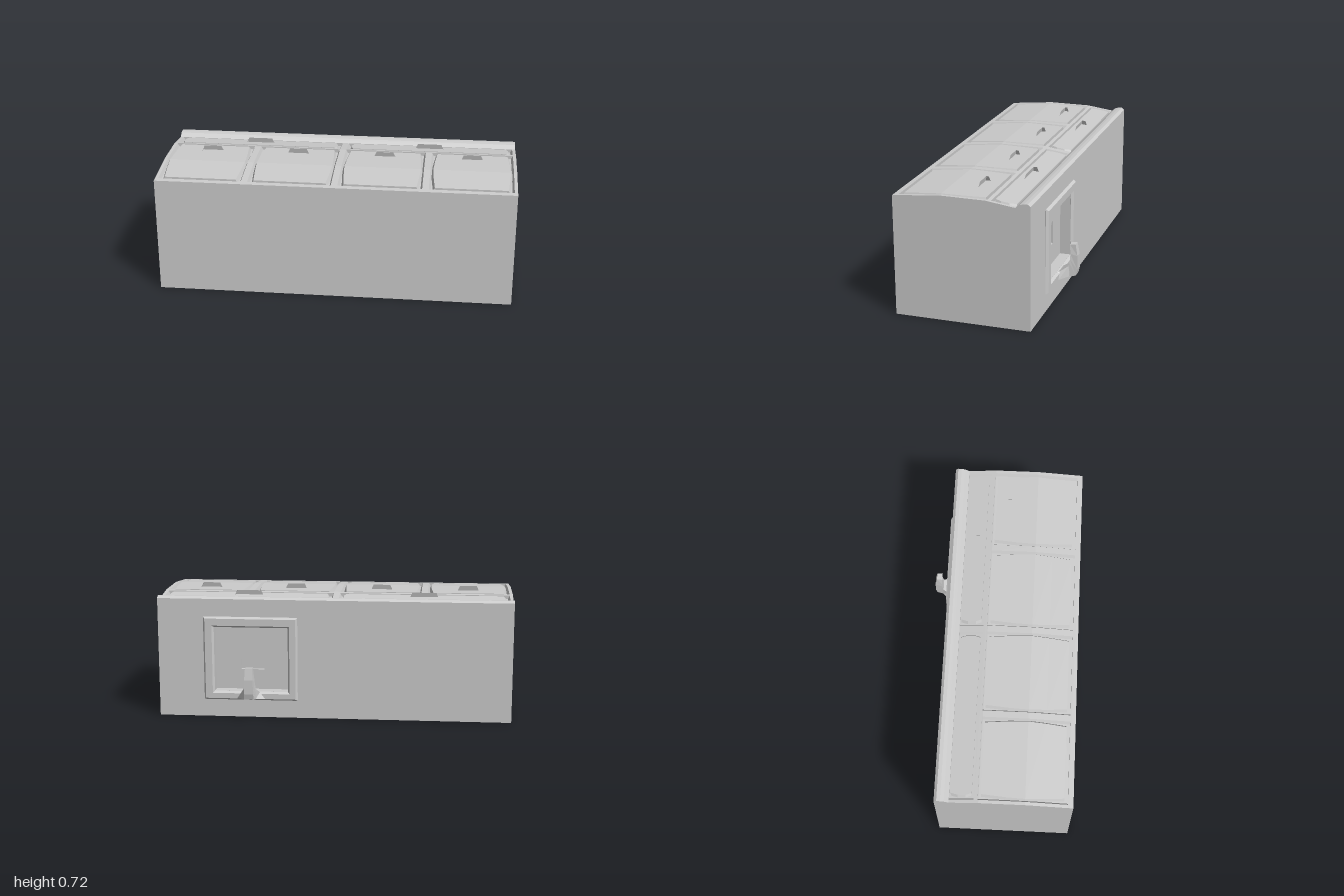
import * as THREE from 'three';

const grey = new THREE.MeshStandardMaterial({ color: 0xcccccc, flatShading: true });

// Gently bowed face of the cabinet: [z, y]
const CROWN = [[0.43, 0.667], [0.17, 0.692], [-0.08, 0.69], [-0.24, 0.668]];
const GROOVE = 0.02;

function crownY(z) {
  for (let i = 0; i < CROWN.length - 1; i++) {
    const [z0, y0] = CROWN[i], [z1, y1] = CROWN[i + 1];
    if (z >= z1) return y0 + (y1 - y0) * (z0 - z) / (z0 - z1);
  }
  return CROWN[CROWN.length - 1][1];
}

// Solid through four-cornered rings, capped at both ends
function loft(rings) {
  const pos = [];
  const quad = (a, b, c, d) => pos.push(...a, ...b, ...c, ...a, ...c, ...d);
  for (let i = 0; i < rings.length - 1; i++) {
    for (let k = 0; k < 4; k++) {
      const n = (k + 1) % 4;
      quad(rings[i][k], rings[i + 1][k], rings[i + 1][n], rings[i][n]);
    }
  }
  const last = rings[rings.length - 1];
  quad(...rings[0]);
  quad(last[3], last[2], last[1], last[0]);
  const geo = new THREE.BufferGeometry();
  geo.setAttribute('position', new THREE.Float32BufferAttribute(pos, 3));
  geo.computeVertexNormals();
  return geo;
}

// Slab following the crown; rows are [z, left x, right x] from front to back
function slab(rows, bevelL = 0, bevelR = bevelL) {
  return loft(rows.map(([z, xl, xr]) => {
    const y = crownY(z), b = y - GROOVE;
    return [[xl - bevelL, b, z], [xr + bevelR, b, z], [xr, y, z], [xl, y, z]];
  }));
}

// Straight strip of the crown between two z values
function strip(x0, x1, zFront, zBack, bevelL, bevelR) {
  const zs = [zFront, ...CROWN.map((p) => p[0]).filter((z) => z < zFront && z > zBack), zBack];
  return slab(zs.map((z) => [z, x0, x1]), bevelL, bevelR);
}

// Bar handle with sloping sides
function handle(x, z, w, d, y0, y1) {
  const ring = (y, hw, hd) => [[x - hw, y, z - hd], [x + hw, y, z - hd], [x + hw, y, z + hd], [x - hw, y, z + hd]];
  return loft([ring(y1, w / 2 - 0.014, d / 2 - 0.007), ring(y0, w / 2, d / 2)]);
}

// Profile of [z, y] points extruded across the full width
function acrossWidth(points) {
  const shape = new THREE.Shape(points.map(([z, y]) => new THREE.Vector2(-z, y)));
  const geo = new THREE.ExtrudeGeometry(shape, { depth: 2, bevelEnabled: false });
  return geo.rotateY(Math.PI / 2).translate(-1, 0, 0);
}

// Upright plate with a rectangular opening; rectangles are [x0, y0, x1, y1]
function plate(outer, hole, z, depth, bevel) {
  const corners = ([x0, y0, x1, y1]) =>
    [[x0, y0], [x1, y0], [x1, y1], [x0, y1]].map((p) => new THREE.Vector2(...p));
  const shape = new THREE.Shape(corners(outer));
  shape.holes.push(new THREE.Path(corners(hole).reverse()));
  const options = bevel
    ? { depth, bevelEnabled: true, bevelThickness: 0.014, bevelSize: bevel, bevelSegments: 1 }
    : { depth, bevelEnabled: false };
  return new THREE.ExtrudeGeometry(shape, options).translate(0, 0, z);
}

export function createModel() {
  const model = new THREE.Group();
  const add = (name, geo, parent = model) => {
    const mesh = new THREE.Mesh(geo, grey);
    mesh.name = name;
    parent.add(mesh);
  };
  const group = (name) => {
    const g = new THREE.Group();
    g.name = name;
    model.add(g);
    return g;
  };

  // Cabinet body, its top lowered to the floor of the grooves
  add('cabinetBody', acrossWidth([
    [0.43, 0], [-0.24, 0], ...CROWN.slice().reverse().map(([z, y]) => [z, y - GROOVE]),
  ]));

  // Back wall with the niche opening, and the moulded ridge along its top
  const opening = [0.26, 0.15, 0.68, 0.52];
  add('backWall', plate([-1, 0, 1, 0.668], opening, -0.32, 0.08));
  add('topRidge', acrossWidth([
    [-0.24, 0.668], [-0.265, 0.687], [-0.285, 0.691], [-0.305, 0.692], [-0.32, 0.68], [-0.32, 0.668],
  ]));

  // Niche: raised surround, rear plate and small square pocket
  const niche = group('niche');
  add('nicheSurround', plate([0.215, 0.11, 0.73, 0.57], [0.25, 0.14, 0.69, 0.53], -0.3215, 0.001, 0.01), niche);
  add('nichePocketPlate', plate(opening, [0.403, 0.265, 0.537, 0.395], -0.26, 0.02), niche);

  // Upturned hook on the lower edge: [outer z, y, half width, inner z, y, half width]
  const cx = 0.47;
  add('hook', loft([
    [-0.325, 0.103, 0.09, -0.325, 0.145, 0.06],
    [-0.335, 0.11, 0.08, -0.335, 0.15, 0.05],
    [-0.385, 0.121, 0.034, -0.38, 0.18, 0.034],
    [-0.42, 0.127, 0.028, -0.383, 0.2, 0.032],
    [-0.428, 0.16, 0.026, -0.386, 0.22, 0.03],
    [-0.427, 0.24, 0.024, -0.388, 0.25, 0.027],
    [-0.415, 0.305, 0.02, -0.383, 0.303, 0.02],
  ].map(([zo, yo, wo, zi, yi, wi]) =>
    [[cx - wo, yo, zo], [cx + wo, yo, zo], [cx + wi, yi, zi], [cx - wi, yi, zi]])), niche);

  // Face frame: cross rails and stiles
  const frame = group('faceFrame');
  add('frontRail', strip(-1, 1, 0.43, 0.4, 0), frame);
  add('middleRail', strip(-1, 1, -0.085, -0.105, 0), frame);
  for (const x of [-1, -0.5, 0, 0.5, 1]) {
    const x0 = Math.max(-1, x - 0.018), x1 = Math.min(1, x + 0.018);
    const bl = x === -1 ? 0 : 0.01, br = x === 1 ? 0 : 0.01;
    add('doorStile', strip(x0, x1, 0.4, -0.085, bl, br), frame);
    if (Math.abs(x) !== 0.5) add('drawerStile', strip(x0, x1, -0.105, -0.24, bl, br), frame);
  }

  // Four doors with bowed sides
  for (const x of [-0.75, -0.25, 0.25, 0.75]) {
    const door = group('door');
    const rows = [[0.38, 0.2], [0.27, 0.21], [0.17, 0.216], [0.06, 0.211], [-0.068, 0.2]];
    add('doorPanel', slab(rows.map(([z, w]) => [z, x - w, x + w]), 0.01), door);
    add('doorHandle', handle(x, 0.012, 0.125, 0.028, 0.685, 0.718), door);
  }

  // Two wide drawers with bowed ends
  for (const x of [-0.5, 0.5]) {
    const drawer = group('drawer');
    const rows = [[-0.118, 0.445], [-0.15, 0.456], [-0.195, 0.456], [-0.231, 0.445]];
    add('drawerFront', slab(rows.map(([z, w]) => [z, x - w, x + w]), 0.01), drawer);
    add('drawerHandle', handle(x, -0.167, 0.165, 0.034, 0.67, 0.705), drawer);
  }

  return model;
}
